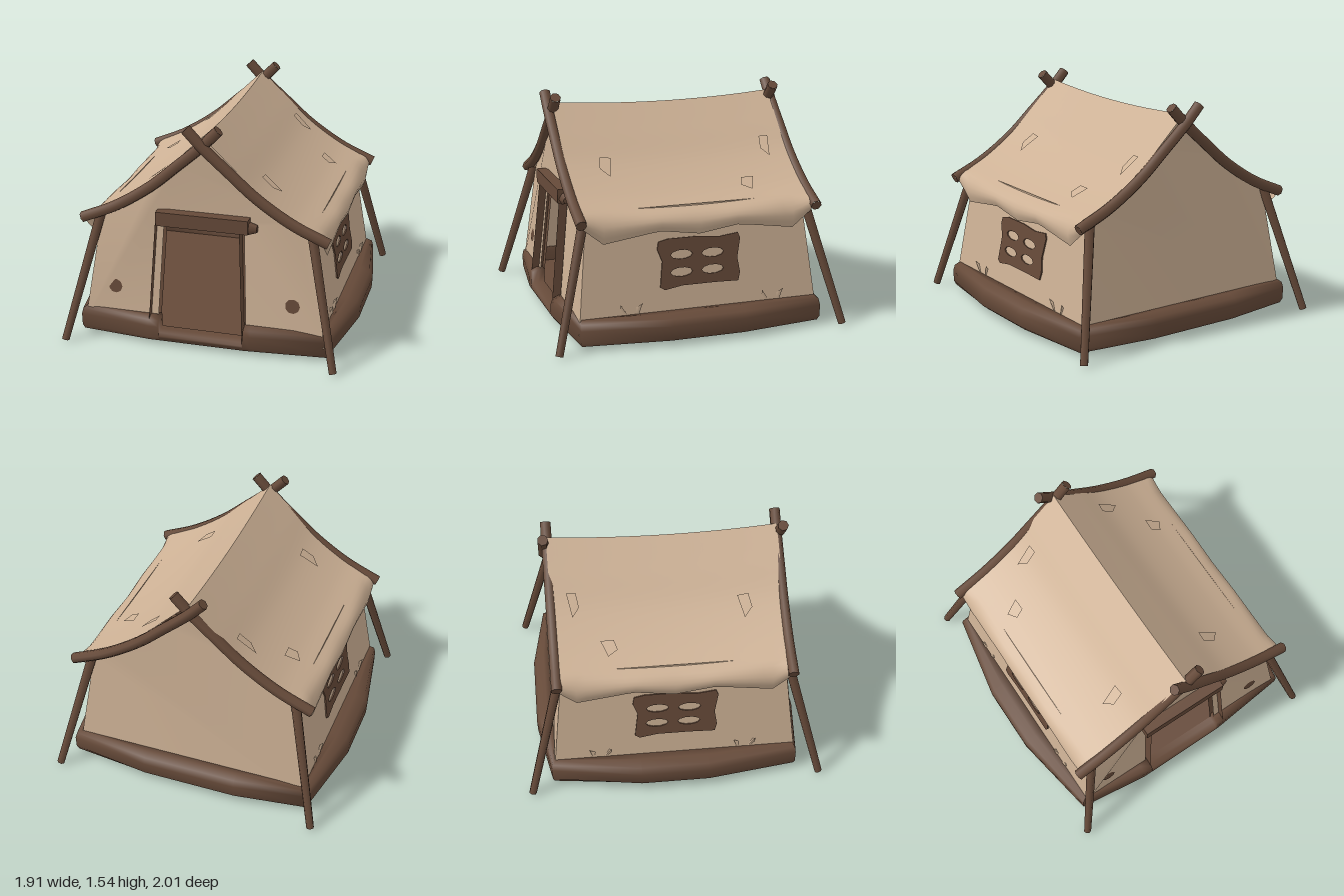
import * as THREE from 'three';

const canvas = new THREE.MeshStandardMaterial({ color: 0xcdb195, side: THREE.DoubleSide });
canvas.name = 'canvas';
const wood = new THREE.MeshStandardMaterial({ color: 0x664a39 });
wood.name = 'wood';

const { lerp } = THREE.MathUtils;
const V = (x, y, z) => new THREE.Vector3(x, y, z);

// Piecewise linear lookup in a list of [t, value] pairs
function sample(list, t) {
  for (let i = 1; i < list.length; i++) {
    if (t <= list[i][0] || i === list.length - 1) {
      const [a, b] = [list[i - 1], list[i]];
      return lerp(a[1], b[1], (t - a[0]) / (b[0] - a[0]));
    }
  }
}

// Surface over a grid of u, v in 0..1
function sheet(nu, nv, f) {
  const pos = [], idx = [];
  for (let i = 0; i <= nu; i++) for (let j = 0; j <= nv; j++) pos.push(...f(i / nu, j / nv));
  for (let i = 0; i < nu; i++) for (let j = 0; j < nv; j++) {
    const a = i * (nv + 1) + j, b = a + nv + 1;
    idx.push(a, b, a + 1, b, b + 1, a + 1);
  }
  const g = new THREE.BufferGeometry();
  g.setAttribute('position', new THREE.Float32BufferAttribute(pos, 3));
  g.setIndex(idx);
  g.computeVertexNormals();
  return g;
}

const polygon = (pts) => new THREE.Shape(pts.map(([x, y]) => new THREE.Vector2(x, y)));

// Leaning walls: distance from the centre at each height
const wallZ = (y) => sample([[0.1, 0.825], [0.84, 0.745], [1.42, 0.775]], y);
const wallX = (y) => lerp(0.825, 0.715, (y - 0.1) / 0.74);

// Roof slope: half profile, hanging hem and sag
const slope = new THREE.CatmullRomCurve3([
  V(0, 1.445, 0), V(0.18, 1.27, 0), V(0.36, 1.1, 0), V(0.58, 0.95, 0), V(0.74, 0.87, 0),
]);
const hem = [[0, 0.7], [0.27, 0.74], [0.65, 0.685], [0.78, 0.79]];
function roofPoint(s, u, v) {
  const z = lerp(-0.78, 0.78, v), mid = 1 - (z / 0.78) ** 2;
  if (u <= 0.8) {
    const p = slope.getPoint(u / 0.8);
    return [s * p.x, p.y + 0.02 - 0.035 * mid, z];
  }
  const k = (u - 0.8) / 0.2, low = sample(hem, Math.abs(z));
  const top = 0.89 - 0.035 * mid;
  return [s * (0.74 + 0.075 * Math.sin(k * 2.3)), lerp(top, low, k ** 1.3), z];
}

export function createModel() {
  const model = new THREE.Group();
  const add = (name, geo, mat, parent = model) => {
    const m = new THREE.Mesh(geo, mat);
    m.name = name;
    parent.add(m);
    return m;
  };
  // Straight round stick between two points
  const stick = (name, a, b, r0, r1) => {
    const m = add(name, new THREE.CylinderGeometry(r1, r0, a.distanceTo(b), 7), wood);
    m.position.copy(a).lerp(b, 0.5);
    m.quaternion.setFromUnitVectors(V(0, 1, 0), b.clone().sub(a).normalize());
  };

  // Padded base rim, lower where the doorway crosses it
  const outline = [
    [-0.85, 0.83], [-0.36, 0.89], [-0.29, 0.89], [-0.285, 0.89, 1], [0.285, 0.885, 1], [0.29, 0.885],
    [0.34, 0.88], [0.86, 0.82], [0.955, 0.23], [0.955, -0.27], [0.86, -0.84], [0.3, -0.925],
    [-0.35, -0.925], [-0.85, -0.84], [-0.96, -0.24], [-0.96, 0.22],
  ];
  const n = outline.length;
  add('baseRim', sheet(n, 6, (u, v) => {
    const [x, z, door] = outline[Math.round(u * n) % n];
    const h = door ? 0.105 : 0.2;
    const qx = THREE.MathUtils.clamp(x, -0.79, 0.79), qz = THREE.MathUtils.clamp(z, -0.79, 0.79);
    const [k, y] = [[1, 0.1], [1, h], [0.55, h], [0.15, h * 0.9], [0, h * 0.7], [0.03, 0.06], [0.25, 0.03]]
      .reverse()[Math.round(v * 6)];
    return [lerp(x, qx, k), y, lerp(z, qz, k)];
  }), wood);
  const floorShape = polygon(outline.map(([x, z]) => [x * 0.975, z * 0.975]));
  add('underside', new THREE.ShapeGeometry(floorShape).rotateX(Math.PI / 2), wood).position.y = 0.031;
  add('floor', new THREE.BoxGeometry(1.62, 0.06, 1.62), wood).position.y = 0.07;

  // Gable walls, the front one cut out for the door
  const half = [[0.825, 0.1], [0.715, 0.84], [0.6, 0.92], [0.36, 1.09], [0.18, 1.25]];
  const mirrored = half.map(([x, y]) => [-x, y]).reverse();
  const gable = [...half, [0, 1.42], ...mirrored];
  const doorway = [[-0.31, 0.1], [-0.275, 0.87], [0.265, 0.87], [0.3, 0.1]];
  const lean = (geo, s) => {
    const p = geo.attributes.position;
    for (let i = 0; i < p.count; i++) p.setZ(i, s * wallZ(p.getY(i)));
    geo.computeVertexNormals();
    return geo;
  };
  add('frontWall', lean(new THREE.ShapeGeometry(polygon([...gable, ...doorway])), 1), canvas);
  add('backWall', lean(new THREE.ShapeGeometry(polygon(gable)).scale(-1, 1, 1), -1), canvas);

  // Brown spots on the front wall
  for (const [x, y, r] of [[-0.61, 0.365, 0.048], [-0.575, 0.51, 0.024], [0.605, 0.365, 0.05]]) {
    const spot = add('spot', new THREE.CircleGeometry(r, 9), wood);
    spot.position.set(x, y, wallZ(y) + 0.006);
    spot.rotation.x = -0.108;
  }

  // Door frame: two leaning posts and a lintel
  const doorPost = (x0, x1) => add('doorPost', sheet(4, 1, (u, v) => {
    const c = [[-1, 1], [-1, -1], [1, -1], [1, 1]][Math.round(u * 4) % 4];
    const y = lerp(0.09, 0.88, v);
    return [lerp(x0, x1, v) + c[0] * 0.031, y, wallZ(y) + 0.012 + c[1] * 0.04];
  }).toNonIndexed(), wood).geometry.computeVertexNormals();
  doorPost(-0.33, -0.29);
  doorPost(0.315, 0.275);
  const lintel = add('lintel', new THREE.BoxGeometry(0.62, 0.095, 0.1), wood);
  lintel.position.set(-0.002, 0.89, 0.775);
  const knob = add('lintelEnd', new THREE.CylinderGeometry(0.025, 0.045, 0.06, 6), wood);
  knob.position.set(0.33, 0.872, 0.775);
  knob.rotation.z = -Math.PI / 2;

  // Window frame plate with four panes left open to the canvas behind
  const frame = polygon([
    [-0.27, -0.15], [-0.24, -0.17], [-0.12, -0.15], [0.1, -0.15], [0.27, -0.155], [0.285, -0.1], [0.27, 0],
    [0.295, 0.13], [0.28, 0.165], [0.15, 0.15], [0, 0.165], [-0.2, 0.165], [-0.27, 0.15], [-0.28, 0.1], [-0.25, 0.02],
  ]);
  for (const [cx, cy] of [[-0.115, 0.055], [0.1, 0.05], [-0.12, -0.06], [0.095, -0.06]]) {
    frame.holes.push(new THREE.Path().absellipse(cx, cy, 0.076, 0.03, 0, Math.PI * 2));
  }
  const frameGeo = new THREE.ExtrudeGeometry(frame, { depth: 0.009, bevelEnabled: false, curveSegments: 5 });

  // Small raised folds in the cloth: [u, v, width, height] on the roof
  const folds = [[0.3, 0.07, 0.05, 0.13], [0.55, 0.2, 0.07, 0.1], [0.36, 0.8, 0.06, 0.12]];

  for (const s of [1, -1]) {
    add('sideWall', sheet(4, 4, (u, v) => {
      const y = lerp(0.1, 0.88, v);
      return [s * wallX(y), y, s * lerp(1, -1, u) * wallZ(Math.min(y, 0.84))];
    }), canvas);
    const win = add('windowFrame', frameGeo, wood);
    win.rotation.set(-0.148, s * Math.PI / 2, 0, 'YXZ');
    win.position.set(s * (wallX(0.505) + 0.002), 0.505, 0);

    add('roofCloth', sheet(30, 24, (u, v) => roofPoint(s, u, v)), canvas);
    for (const [u, v, w, h] of folds) {
      const c = [[0, 0], [h, w * 0.4], [h * 0.7, w], [0.01, w * 0.8]];
      add('roofFold', sheet(1, 1, (a, b) => {
        const [du, dv] = c[a ? (b ? 2 : 1) : (b ? 3 : 0)];
        const p = roofPoint(s, u + du, v + dv);
        return [p[0] + s * 0.014 * (1 - b), p[1] + 0.012 * b + 0.004, p[2]];
      }), canvas);
    }

    // Gathered cloth tufts at the foot of the side walls
    for (const z of [0.48, -0.5]) for (const dz of [-0.06, 0.05]) {
      const tuft = add('tuft', new THREE.ConeGeometry(0.035, 0.1, 3, 1, true), canvas);
      tuft.position.set(s * 0.805, 0.235, z + dz);
      tuft.rotation.set(dz * 8, 0, -s * 0.4);
    }

    for (const e of [1, -1]) {
      // Splayed corner poles
      stick('cornerPole', V(s * 0.915, 0.012, e * 0.98), V(s * 0.715, 0.86, e * 0.755), 0.026, 0.033);

      // Curved rafters crossing above the ridge
      const z = e * (0.79 + s * 0.012);
      const path = new THREE.CatmullRomCurve3([
        V(-s * 0.105, 1.515, z), V(0, 1.405, z), V(s * 0.18, 1.245, z), V(s * 0.36, 1.09, z),
        V(s * 0.6, 0.935, z), V(s * 0.835, 0.83, z),
      ]);
      add('rafter', new THREE.TubeGeometry(path, 20, 0.037, 7), wood);
      for (const t of [0, 1]) {
        const cap = add('rafterEnd', new THREE.CircleGeometry(0.037, 7), wood);
        const p = path.getPoint(t);
        cap.position.copy(p);
        cap.lookAt(p.clone().addScaledVector(path.getTangent(t), t ? 1 : -1));
      }
    }
  }
  return model;
}
